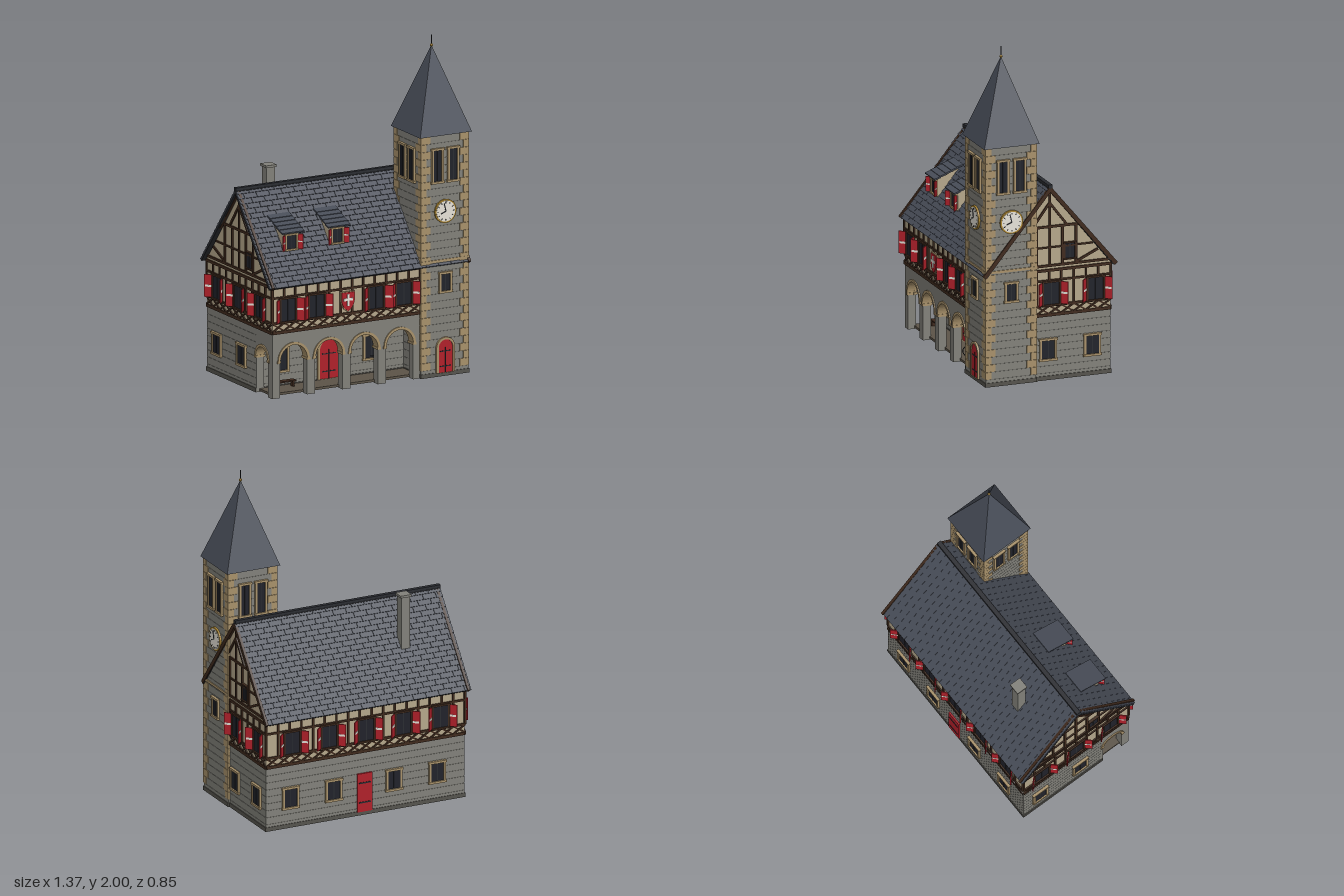
import * as THREE from 'three';
import { mergeGeometries } from 'three/addons/utils/BufferGeometryUtils.js';

const C = {
  stone: 0x82817a, joint: 0x64635e, plinth: 0x55534d, trim: 0xa8916a, plaster: 0xb5a78b, timber: 0x3f2a1d,
  red: 0xb0202a, glass: 0x20222a, roof: 0x484d58, dark: 0x2a2c31, white: 0xe6e2d8, gold: 0xb08a35, floor: 0x5c5448,
};
const mats = {};
const mat = (c) => (mats[c] ??= new THREE.MeshStandardMaterial({ color: C[c], flatShading: true }));

function add(parent, name, color, geo, x = 0, y = 0, z = 0) {
  const m = new THREE.Mesh(geo, mat(color));
  m.name = name;
  m.position.set(x, y, z);
  parent.add(m);
  return m;
}
const box = (p, name, color, w, h, d, x, y, z) => add(p, name, color, new THREE.BoxGeometry(w, h, d), x, y, z);
function group(parent, name, x = 0, y = 0, z = 0, ry = 0) {
  const g = new THREE.Group();
  g.name = name;
  g.position.set(x, y, z);
  g.rotation.y = ry;
  parent.add(g);
  return g;
}
const extrude = (shape, depth) => new THREE.ExtrudeGeometry(shape, { depth, bevelEnabled: false, curveSegments: 12 });
const poly = (pts) => new THREE.Shape(pts.map(([x, y]) => new THREE.Vector2(x, y)));

// Timber lying flat on a facade between two points
function beam(p, x1, y1, x2, y2, w = 0.014, z = 0.003, d = 0.01) {
  const b = box(p, 'timber', 'timber', Math.hypot(x2 - x1, y2 - y1), w, d, (x1 + x2) / 2, (y1 + y2) / 2, z);
  b.rotation.z = Math.atan2(y2 - y1, x2 - x1);
}

// Dark pane in a frame, centred on x, y
function windowAt(p, x, y, w, h, frame = 'trim', t = 0.013) {
  const g = group(p, 'window', x, y, 0);
  box(g, 'pane', 'glass', w, h, 0.008, 0, 0, 0.003);
  for (const s of [-1, 1]) {
    box(g, 'jamb', frame, t, h, 0.018, s * (w + t) / 2, 0, 0.004);
    box(g, 'sill', frame, w + t * 2.6, t, 0.022, 0, s * (h + t) / 2, 0.005);
  }
  box(g, 'mullion', 'dark', 0.005, h, 0.006, 0, 0, 0.006);
  return g;
}

// Red shutters standing half open
function shutters(g, w, h, sw) {
  for (const s of [-1, 1]) {
    const hinge = group(g, 'shutter', s * (w / 2 + 0.008), 0, 0.006, -s * 0.75);
    box(hinge, 'shutterLeaf', 'red', sw, h, 0.006, s * sw / 2, 0, 0);
    box(hinge, 'shutterBand', 'white', sw * 0.8, h * 0.09, 0.009, s * sw / 2, 0, 0);
  }
}

// Stone wall block with shallow horizontal joints
function courses(p, name, x0, x1, y0, y1, z0, z1, n) {
  const g = group(p, name, (x0 + x1) / 2, 0, (z0 + z1) / 2);
  const w = x1 - x0, d = z1 - z0, h = (y1 - y0) / n;
  box(g, 'joints', 'joint', w - 0.004, y1 - y0, d - 0.004, 0, (y0 + y1) / 2, 0);
  for (let i = 0; i < n; i++) box(g, 'course', 'stone', w, h - 0.003, d, 0, y0 + h * (i + 0.5), 0);
}

// Closed outline of a round-headed opening
function archShape(r, spring) {
  const s = new THREE.Shape();
  s.moveTo(-r, 0).lineTo(r, 0).lineTo(r, spring).absarc(0, spring, r, 0, Math.PI, false).lineTo(-r, 0);
  return s;
}
function archedDoor(p, x, y, r, spring) {
  const g = group(p, 'archedDoor', x, y, 0);
  const frame = archShape(r + 0.014, spring);
  frame.holes.push(archShape(r, spring));
  add(g, 'doorFrame', 'trim', extrude(frame, 0.012));
  add(g, 'doorLeaf', 'red', extrude(archShape(r, spring), 0.006));
  box(g, 'doorGap', 'dark', 0.003, spring, 0.003, 0, spring / 2, 0.007);
  for (const k of [0.25, 0.85]) box(g, 'doorStrap', 'dark', r * 1.5, 0.006, 0.003, 0, spring * k, 0.007);
}

// Wall standing on piers, with round arches cut from below
function arcade(p, x0, x1, top, centres, r, spring, depth) {
  const s = new THREE.Shape();
  s.moveTo(x0, 0);
  for (const c of centres) s.lineTo(c - r, 0).lineTo(c - r, spring).absarc(c, spring, r, Math.PI, 0, true).lineTo(c + r, 0);
  s.lineTo(x1, 0).lineTo(x1, top).lineTo(x0, top);
  add(p, 'arcadeWall', 'stone', extrude(s, depth), 0, 0, -depth);
  for (const c of centres) {
    const ring = new THREE.Shape();
    ring.absarc(0, 0, r + 0.014, 0, Math.PI, false).absarc(0, 0, r - 0.002, Math.PI, 0, true);
    add(p, 'archTrim', 'trim', extrude(ring, depth + 0.01), c, spring, -depth - 0.003);
    for (const e of [-1, 1]) box(p, 'capital', 'trim', 0.022, 0.014, depth + 0.014, c + e * (r + 0.006), spring - 0.005, -depth / 2);
  }
}

// Half-timbered storey on one facade
function timberStorey(p, x0, x1, windows) {
  for (const [y, w] of [[0.393, 0.018], [0.45, 0.014], [0.6, 0.012], [0.662, 0.016]]) beam(p, x0, y, x1, y, w);
  const n = Math.round((x1 - x0) / 0.075), step = (x1 - x0) / n;
  for (let i = 0; i <= n; i++) {
    const x = x0 + i * step;
    const blocked = windows.some((c) => Math.abs(c - x) < 0.062);
    beam(p, x, blocked ? 0.6 : 0.45, x, 0.665, 0.012);
    if (i < n) {
      beam(p, x, 0.4, x + step, 0.447, 0.009);
      beam(p, x, 0.447, x + step, 0.4, 0.009, 0.002);
    }
  }
  for (const c of windows) shutters(windowAt(p, c, 0.523, 0.095, 0.132, 'timber', 0.01), 0.095, 0.135, 0.05);
}

// Timber pattern of a gable end
function gableTimbers(p) {
  beam(p, -0.375, 0.69, 0.375, 0.69);
  beam(p, -0.18, 0.925, 0.18, 0.925);
  beam(p, -0.27, 0.8, 0.27, 0.8, 0.01);
  beam(p, 0, 0.69, 0, 1.13);
  for (const s of [-1, 1]) {
    beam(p, s * 0.08, 0.69, s * 0.08, 0.925);
    beam(p, s * 0.165, 0.69, s * 0.165, 0.925);
    beam(p, 0, 1.07, s * 0.11, 0.925);
    beam(p, s * 0.17, 0.7, s * 0.3, 0.76);
    beam(p, 0, 1.155, s * 0.41, 0.662, 0.024, 0.01, 0.016);
  }
  windowAt(p, 0.125, 0.77, 0.06, 0.09, 'timber', 0.008);
}

// One roof slope of overlapping staggered tiles
function roofSlope(p, ry) {
  const rows = 20, cols = 16, width = 1.33, len = 0.65, h = len / rows, tw = width / cols;
  const slope = group(p, 'roofSlope', -0.005, 1.172, 0, ry);
  const plane = group(slope, 'roofPlane');
  plane.rotation.x = Math.atan2(0.507, 0.41);
  box(plane, 'roofBoards', 'dark', width, 0.012, len, 0, -0.012, len / 2);
  const tiles = [];
  for (let r = 0; r < rows; r++) for (let c = 0; c <= cols; c++) {
    const a = Math.max(0, (c - (r % 2) / 2) * tw), b = Math.min(width, (c + 1 - (r % 2) / 2) * tw);
    if (b - a < 0.01) continue;
    const t = new THREE.BoxGeometry(b - a - 0.002, 0.007, h * 1.15);
    tiles.push(t.rotateX(-0.13).translate((a + b) / 2 - width / 2, -0.003, h * (r + 0.5)));
  }
  add(plane, 'roofTiles', 'roof', mergeGeometries(tiles));
}

function dormer(p, x) {
  const g = group(p, 'dormer', x);
  const cheek = extrude(poly([[-0.27, 0.82], [-0.27, 0.95], [-0.13, 1.0]]), 0.09).rotateY(Math.PI / 2);
  add(g, 'dormerWalls', 'plaster', cheek, -0.045);
  const roof = group(g, 'dormerRoof', 0, 0.985, 0.212);
  roof.rotation.x = 0.4;
  for (let i = 0; i < 5; i++) box(roof, 'dormerTiles', 'roof', 0.148, 0.009, 0.042, 0, 0.004, -0.076 + i * 0.038).rotation.x = -0.1;
  const front = group(g, 'dormerFront', 0, 0, 0.272);
  shutters(windowAt(front, 0, 0.892, 0.062, 0.08, 'trim', 0.01), 0.066, 0.09, 0.036);
}

function clock(p, y) {
  const g = group(p, 'clock', 0, y, 0.004);
  const disc = (r, d) => new THREE.CylinderGeometry(r, r, d, 28).rotateX(Math.PI / 2);
  add(g, 'clockRim', 'gold', disc(0.071, 0.014));
  add(g, 'clockFace', 'white', disc(0.062, 0.018));
  for (let i = 0; i < 12; i++) {
    const a = i * Math.PI / 6;
    box(g, 'hourMark', 'dark', 0.004, 0.009, 0.003, Math.sin(a) * 0.052, Math.cos(a) * 0.052, 0.01).rotation.z = -a;
  }
  for (const [len, a] of [[0.048, 0.25], [0.036, 1.95]])
    box(g, 'clockHand', 'dark', 0.005, len, 0.003, -Math.sin(a) * len / 2, Math.cos(a) * len / 2, 0.011).rotation.z = a;
}

function tower(p) {
  const H = 0.157, g = group(p, 'tower', 0.498, 0, 0.243);
  courses(g, 'towerWalls', -H, H, 0, 1.44, -H, H, 32);
  box(g, 'towerPlinth', 'plinth', 0.322, 0.025, 0.322, 0, 0.0125, 0);
  for (const sx of [-1, 1]) for (const sz of [-1, 1]) for (let i = 0; i < 32; i++) {
    const w = i % 2 ? 0.062 : 0.038, d = i % 2 ? 0.038 : 0.062;
    if (i) box(g, 'quoin', 'trim', w, 0.043, d, sx * (H + 0.003 - w / 2), 0.0225 + i * 0.045, sz * (H + 0.003 - d / 2));
  }
  box(g, 'stringCourse', 'trim', 0.324, 0.015, 0.324, 0, 0.69, 0);
  for (let k = 0; k < 4; k++) {
    const a = k * Math.PI / 2, f = group(g, 'towerFace', Math.sin(a) * H, 0, Math.cos(a) * H, a);
    for (const s of [-1, 1]) windowAt(f, s * 0.052, 1.26, 0.052, 0.185);
    if (k > 1) continue;
    clock(f, 0.985);
    windowAt(f, 0, 0.56, 0.058, 0.1);
    if (!k) archedDoor(f, 0, 0.022, 0.047, 0.15);
  }
  add(g, 'spire', 'roof', new THREE.ConeGeometry(0.172 * Math.SQRT2, 0.5, 4).rotateY(Math.PI / 4), 0, 1.69, 0);
  add(g, 'finialBall', 'gold', new THREE.SphereGeometry(0.009, 10, 8), 0, 1.94, 0);
  add(g, 'finialRod', 'dark', new THREE.CylinderGeometry(0.003, 0.003, 0.07, 6), 0, 1.965, 0);
}

function arcadeFurniture(p) {
  const bench = group(p, 'bench', -0.485, 0.02, 0.24);
  box(bench, 'benchSeat', 'timber', 0.15, 0.008, 0.04, 0, 0.035, 0);
  for (const s of [-1, 1]) box(bench, 'benchLeg', 'timber', 0.008, 0.035, 0.034, s * 0.06, 0.017, 0);
  const bike = group(p, 'bicycle', 0.12, 0.052, 0.25, 1.1);
  for (const s of [-1, 1]) add(bike, 'wheel', 'dark', new THREE.TorusGeometry(0.029, 0.003, 6, 18), s * 0.045, 0, 0);
  for (const l of [[-0.045, 0, -0.015, 0.045], [-0.015, 0.045, 0.035, 0.05], [0.045, 0, 0.033, 0.07], [0, 0, -0.02, 0.06], [0, 0, 0.035, 0.05]])
    beam(bike, ...l, 0.005, 0, 0.005);
  box(bike, 'handlebar', 'dark', 0.005, 0.005, 0.05, 0.033, 0.07, 0);
}

export function createModel() {
  const root = new THREE.Group();
  root.name = 'townHall';
  // Ground floor, arcade passage and upper storey
  courses(root, 'groundFloor', -0.64, 0.645, 0, 0.385, -0.38, 0.19, 9);
  box(root, 'plinth', 'plinth', 1.295, 0.025, 0.58, 0.0025, 0.0125, -0.094);
  box(root, 'arcadeFloor', 'floor', 0.96, 0.014, 0.155, -0.14, 0.013, 0.267);
  box(root, 'upperStorey', 'plaster', 1.285, 0.29, 0.765, 0.0025, 0.53, 0.0025);
  const gable = extrude(poly([[-0.385, 0.665], [0.385, 0.665], [0, 1.14]]), 1.285).rotateY(Math.PI / 2);
  add(root, 'gableWalls', 'plaster', gable, -0.64);

  // Facades: local x runs along the wall, local z points outwards
  const front = group(root, 'frontFacade', 0, 0, 0.385);
  arcade(front, -0.64, 0.345, 0.388, [-0.5, -0.265, -0.03, 0.205], 0.091, 0.22, 0.05);
  timberStorey(front, -0.64, 0.34, [-0.54, -0.35, 0.045, 0.23]);
  const shield = new THREE.Shape();
  shield.moveTo(-0.042, 0.05).lineTo(0.042, 0.05).lineTo(0.042, 0).quadraticCurveTo(0.036, -0.04, 0, -0.06).quadraticCurveTo(-0.036, -0.04, -0.042, 0);
  add(front, 'shieldRim', 'trim', extrude(shield, 0.01).scale(1.12, 1.1, 1), -0.148, 0.53, 0.006);
  add(front, 'shield', 'red', extrude(shield, 0.015), -0.148, 0.53, 0.006);
  box(front, 'shieldBar', 'white', 0.062, 0.015, 0.004, -0.148, 0.538, 0.022);
  box(front, 'shieldBar', 'white', 0.015, 0.07, 0.004, -0.148, 0.535, 0.022);

  const inner = group(root, 'passageWall', 0, 0, 0.19);
  archedDoor(inner, -0.157, 0.022, 0.062, 0.175);
  for (const x of [-0.48, 0.125]) windowAt(inner, x, 0.175, 0.085, 0.13);
  arcadeFurniture(root);

  const back = group(root, 'backFacade', 0, 0, -0.38, Math.PI);
  timberStorey(back, -0.645, 0.64, [-0.48, -0.24, 0, 0.24, 0.48]);
  for (const x of [-0.49, -0.21, 0.18, 0.46]) windowAt(back, x, 0.185, 0.08, 0.11);
  box(back, 'backDoor', 'red', 0.095, 0.235, 0.012, -0.01, 0.14, 0.004);
  for (const y of [0.08, 0.2]) box(back, 'doorStrap', 'dark', 0.075, 0.008, 0.004, -0.01, y, 0.011);

  const right = group(root, 'rightFacade', 0.645, 0, 0, Math.PI / 2);
  timberStorey(right, -0.08, 0.38, [0.01, 0.285]);
  for (const x of [-0.01, 0.265]) windowAt(right, x, 0.185, 0.08, 0.11);
  gableTimbers(right);

  const left = group(root, 'leftFacade', -0.64, 0, 0, -Math.PI / 2);
  timberStorey(left, -0.38, 0.385, [-0.25, 0, 0.25]);
  for (const x of [-0.26, 0.03]) windowAt(left, x, 0.185, 0.08, 0.11);
  arcade(left, 0.19, 0.385, 0.388, [0.267], 0.068, 0.22, 0.05);
  gableTimbers(left);

  // Roof, dormers and chimney
  for (const ry of [0, Math.PI]) roofSlope(root, ry);
  box(root, 'ridge', 'dark', 1.33, 0.018, 0.026, -0.005, 1.172, 0);
  for (const x of [-0.455, -0.148]) dormer(root, x);
  box(root, 'chimney', 'stone', 0.055, 0.34, 0.055, -0.342, 1.06, -0.186);
  box(root, 'chimneyCap', 'stone', 0.07, 0.014, 0.07, -0.342, 1.233, -0.186);
  tower(root);
  return root;
}
